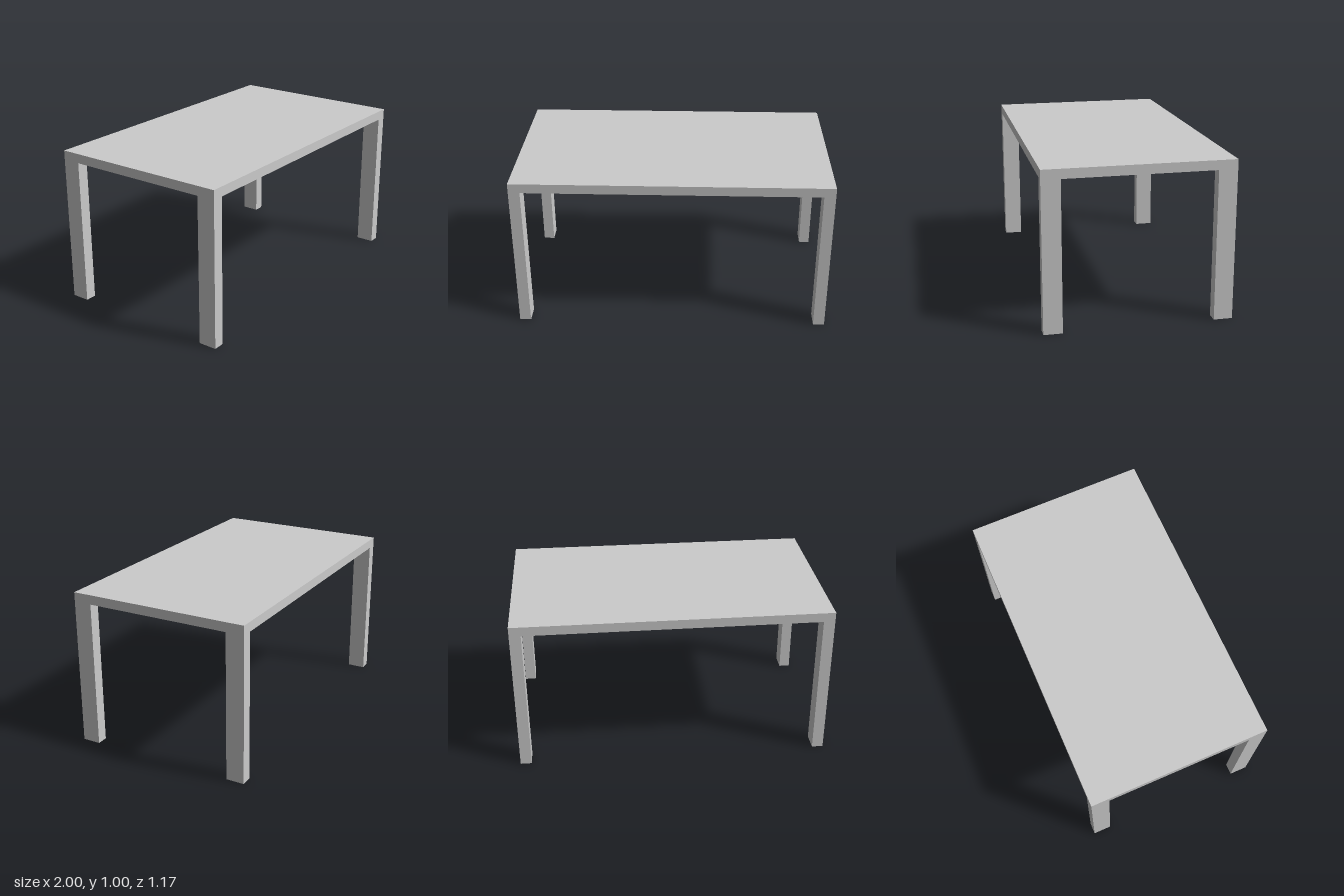
import * as THREE from 'three';

export function createModel() {
  const table = new THREE.Group();
  table.name = 'table';
  const material = new THREE.MeshStandardMaterial({ color: 0xcccccc });

  const width = 2, depth = 1.168, height = 1.004, thickness = 0.06;
  const legWidth = 0.072, legDepth = 0.117, legHeight = height - thickness;

  function addBox(name, w, h, d, x, y, z) {
    const mesh = new THREE.Mesh(new THREE.BoxGeometry(w, h, d), material);
    mesh.name = name;
    mesh.position.set(x, y, z);
    table.add(mesh);
  }

  // Flat slab top
  addBox('tableTop', width, thickness, depth, 0, height - thickness / 2, 0);

  // Four legs, flush with the corners of the top
  for (const [side, sx] of [['Left', 1], ['Right', -1]]) {
    for (const [end, sz] of [['front', 1], ['back', -1]]) {
      addBox(`${end}${side}Leg`, legWidth, legHeight, legDepth,
        sx * (width - legWidth) / 2, legHeight / 2, sz * (depth - legDepth) / 2);
    }
  }

  return table;
}
